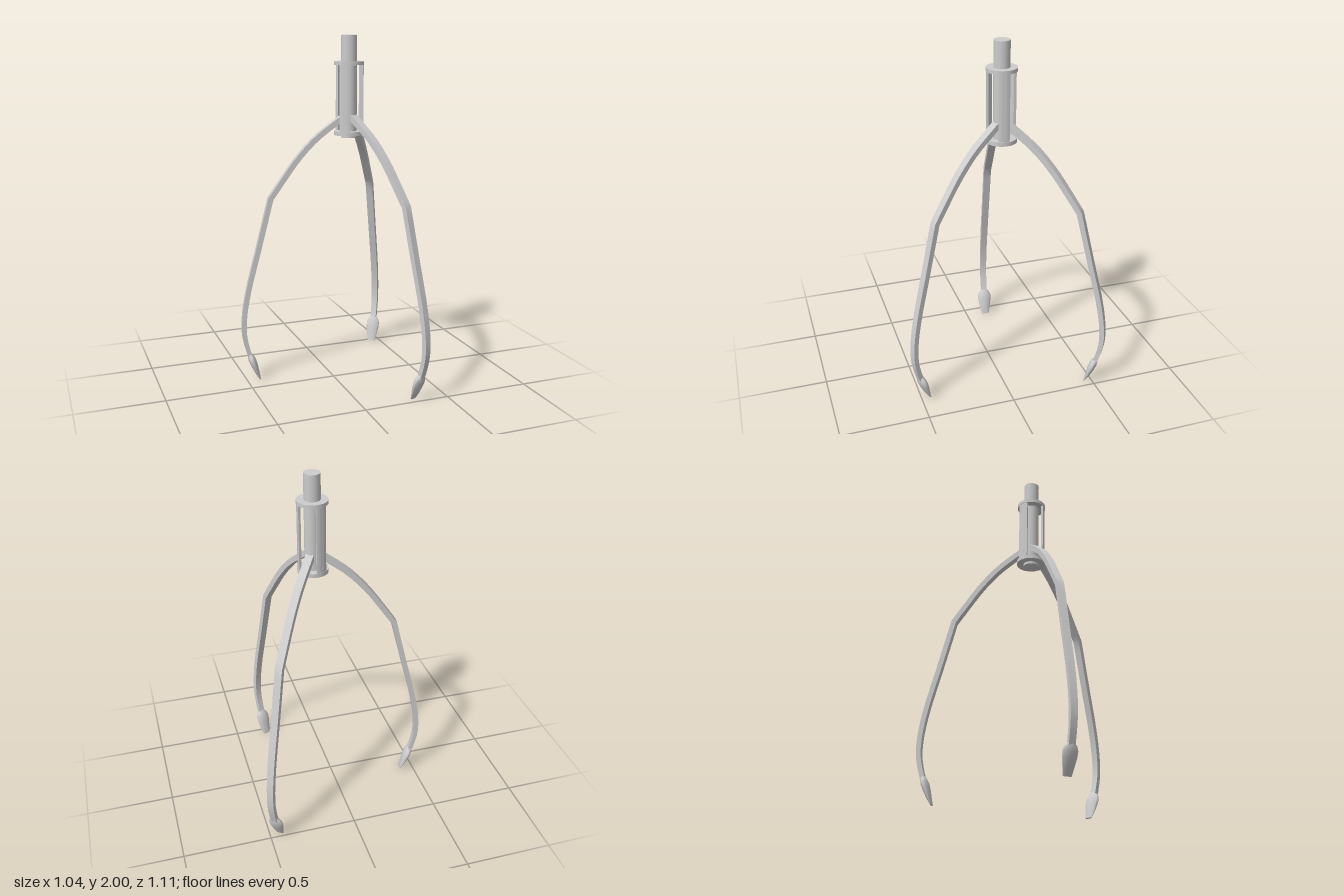
import * as THREE from 'three';
import { toCreasedNormals } from 'three/addons/utils/BufferGeometryUtils.js';

const material = new THREE.MeshStandardMaterial({ color: 0xcccccc });
const rad = THREE.MathUtils.degToRad;

// Sweeps a section along rows of [radius, height, thickness, width].
function loft(rows, section) {
  const pos = [], idx = [], n = section.length;
  rows.forEach(([r, y, t, w], i) => {
    const a = rows[Math.max(i - 1, 0)], b = rows[Math.min(i + 1, rows.length - 1)];
    const len = Math.hypot(b[0] - a[0], b[1] - a[1]);
    const nx = -(b[1] - a[1]) / len, ny = (b[0] - a[0]) / len;
    for (const [u, v] of section) pos.push(r + nx * u * t / 2, y + ny * u * t / 2, v * w / 2);
  });
  const last = (rows.length - 1) * n;
  for (let j = 0; j < n; j++) {
    const k = (j + 1) % n;
    for (let i = 0; i < last; i += n) idx.push(i + j, i + k, i + n + j, i + k, i + n + k, i + n + j);
    if (j > 0 && j < n - 1) idx.push(0, j + 1, j, last, last + j, last + j + 1);
  }
  const g = new THREE.BufferGeometry();
  g.setAttribute('position', new THREE.Float32BufferAttribute(pos, 3));
  g.setIndex(idx);
  return toCreasedNormals(g, rad(28));
}

// Samples a smooth curve through [radius, height] points.
function smooth(points, steps) {
  return new THREE.CatmullRomCurve3(points.map(([r, y]) => new THREE.Vector3(r, y, 0)))
    .getPoints(steps).map(p => [p.x, p.y]);
}

export function createModel() {
  const model = new THREE.Group();
  const hub = new THREE.Group();
  hub.name = 'hub';
  hub.position.set(0.11, 0, -0.045);
  model.add(hub);

  const add = (name, geometry, parent, y = 0) => {
    const mesh = new THREE.Mesh(geometry, material);
    mesh.name = name;
    mesh.position.y = y;
    parent.add(mesh);
    return mesh;
  };
  const disc = (name, radius, bottom, top) =>
    add(name, new THREE.CylinderGeometry(radius, radius, top - bottom, 40), hub, (top + bottom) / 2);

  // Central rod and the two end discs of the slotted housing
  disc('rod', 0.045, 1.425, 2);
  disc('topCap', 0.085, 1.835, 1.855);
  disc('bottomCap', 0.085, 1.44, 1.463);

  // Housing wall: three curved panels with an open slot between each pair
  const half = rad(22);
  const panel = new THREE.Shape();
  panel.absarc(0, 0, 0.083, -half, half, false);
  panel.absarc(0, 0, 0.069, half, -half, true);
  const wall = toCreasedNormals(new THREE.ExtrudeGeometry(panel,
    { depth: 0.385, bevelEnabled: false, curveSegments: 10 }).rotateX(Math.PI / 2), rad(30));

  // Arm: bowed upper part, sharp elbow, then a long part curling inward
  const upper = smooth([[0.03, 1.545], [0.085, 1.505], [0.195, 1.42], [0.3, 1.307], [0.385, 1.19], [0.458, 1.085]], 14);
  const lower = smooth([[0.458, 1.085], [0.53, 0.8], [0.594, 0.55], [0.62, 0.4], [0.624, 0.29], [0.613, 0.22], [0.588, 0.13]], 24);
  const path = [...upper, ...lower.slice(1)];
  const armRows = path.map(([r, y], i) => {
    const f = i / (path.length - 1);
    return [r, y, 0.032 - 0.006 * f, 0.046 - 0.011 * f];
  });
  const arm = loft(armRows, [[1, -1], [1, 1], [-1, 1], [-1, -1]]);

  // Fingertip: flattened spade tapering to a thin edge
  const oval = [];
  for (let i = 0; i < 16; i++) {
    const a = i / 16 * Math.PI * 2;
    oval.push([Math.cos(a), Math.sin(a)]);
  }
  const tip = loft([
    [0.594, 0.158, 0.026, 0.034], [0.588, 0.14, 0.038, 0.066], [0.58, 0.118, 0.044, 0.084],
    [0.568, 0.085, 0.04, 0.08], [0.552, 0.04, 0.026, 0.062], [0.537, 0.002, 0.01, 0.046],
  ], oval);

  // Three arms spaced evenly around the hub
  for (let i = 0; i < 3; i++) {
    const angle = 68.2 + i * 120;
    const claw = new THREE.Group();
    claw.name = 'claw';
    claw.rotation.y = -rad(angle);
    add('arm', arm, claw);
    add('fingertip', tip, claw);
    hub.add(claw);
    add('housingPanel', wall, hub, 1.842).rotation.y = -rad(angle + 60);
  }
  return model;
}
